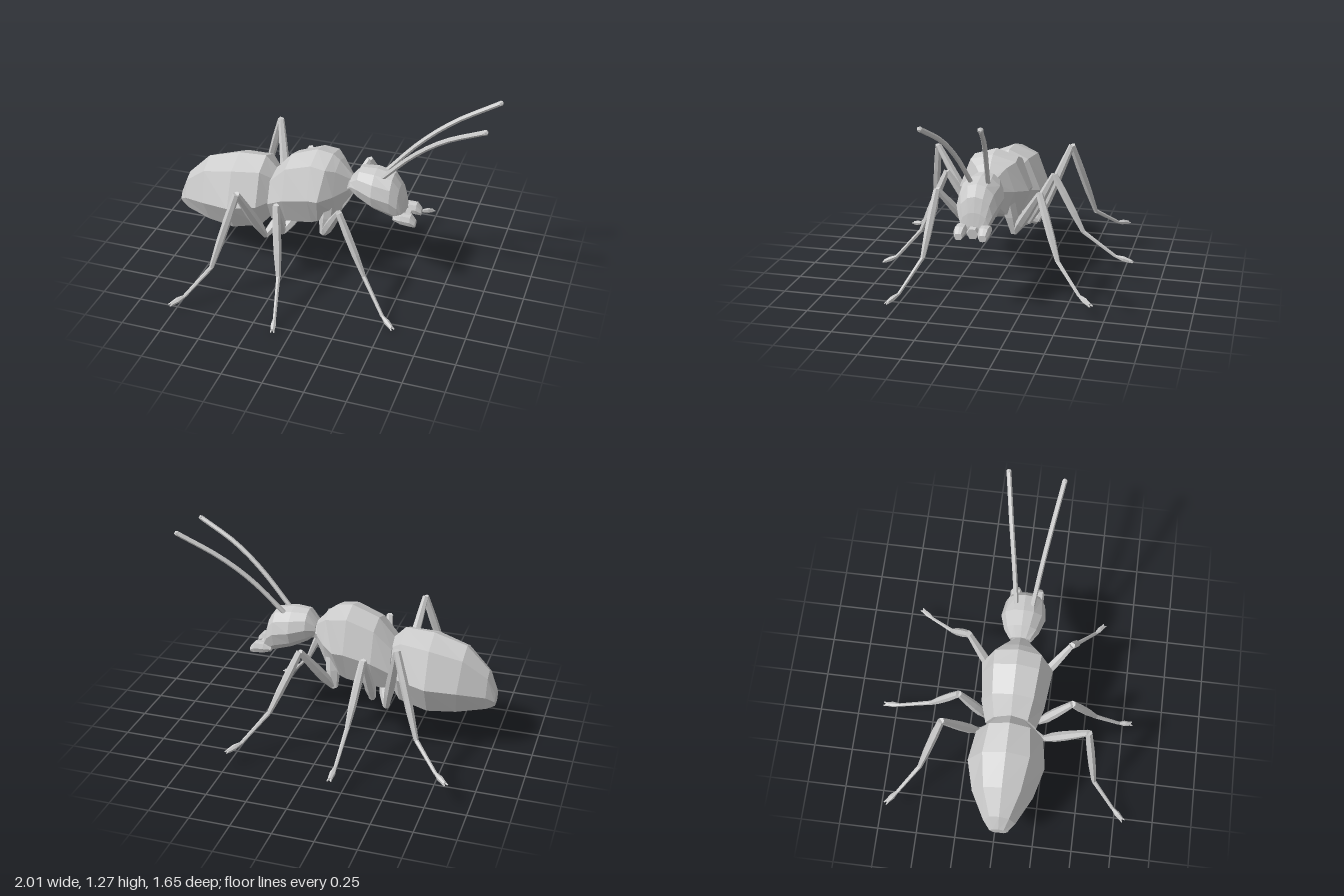
import * as THREE from 'three';

const mat = new THREE.MeshStandardMaterial({ color: 0xcccccc, flatShading: true });
const ZC = 0.035; // the body's mid-plane
const V = (x, y, z) => new THREE.Vector3(x, y, z);

function mesh(geo, name) {
  const m = new THREE.Mesh(geo, mat);
  m.name = name;
  return m;
}

// Loft along x. Half section: [width fraction, height fraction] from top to bottom.
// Stations: [x, bottom, top, half width, lean of the top in x]
function loft(name, half, stations, zc = ZC) {
  const inner = half.slice(1, -1);
  const ring = [...half, ...inner.reverse().map(([w, h]) => [-w, h])];
  const n = ring.length, pos = [], idx = [];
  for (const [x, lo, hi, w, lean = 0] of stations)
    for (const [rw, rh] of ring) pos.push(x + lean * (rh - 0.5), lo + (hi - lo) * rh, zc + w * rw);
  for (let i = 0; i < stations.length - 1; i++)
    for (let j = 0; j < n; j++) {
      const a = i * n + j, b = i * n + (j + 1) % n;
      idx.push(a, b, b + n, a, b + n, a + n);
    }
  const last = (stations.length - 1) * n;
  for (let j = 1; j < n - 1; j++) idx.push(0, j + 1, j, last, last + j, last + j + 1);
  const g = new THREE.BufferGeometry();
  g.setAttribute('position', new THREE.Float32BufferAttribute(pos, 3));
  g.setIndex(idx);
  const flat = g.toNonIndexed();
  flat.computeVertexNormals();
  return mesh(flat, name);
}

// Closed faceted rod from a to b; radii are spread evenly along its length
function rod(name, a, b, radii, sides = 6) {
  const d = b.clone().sub(a), len = d.length();
  const pts = [new THREE.Vector2(0, 0)];
  radii.forEach((r, i) => pts.push(new THREE.Vector2(r, len * i / (radii.length - 1))));
  pts.push(new THREE.Vector2(0, len));
  const m = mesh(new THREE.LatheGeometry(pts, sides), name);
  m.position.copy(a);
  m.quaternion.setFromUnitVectors(V(0, 1, 0), d.normalize());
  return m;
}

// Leg through root, hip, knee, ankle and foot
function leg(name, root, hip, knee, ankle, foot, coxaR) {
  const g = new THREE.Group();
  g.name = name;
  const [r, h, k, a, f] = [root, hip, knee, ankle, foot].map(p => V(...p));
  const t = a.clone().lerp(f, 0.68);
  t.y = a.y + (f.y - a.y) * 0.85;
  g.add(rod('coxa', r, h, [coxaR, coxaR, coxaR * 0.6]));
  g.add(rod('femur', h, k, [0.018, 0.031, 0.031, 0.026, 0.02]));
  g.add(rod('tibia', k, a, [0.022, 0.026, 0.024, 0.015]));
  g.add(rod('tarsus', a, t, [0.014, 0.012, 0.011]));
  g.add(rod('toe', t, f, [0.009, 0.018, 0.013]));
  // forked claws
  const dir = f.clone().sub(t).normalize();
  const side = V(-dir.z, 0, dir.x).multiplyScalar(0.012);
  for (const s of [-1, 1]) {
    const p = f.clone().addScaledVector(side, s * 0.5).addScaledVector(dir, -0.01);
    g.add(rod('claw', p, p.clone().addScaledVector(dir, 0.025).addScaledVector(side, s * 0.5), [0.008, 0.004], 5));
  }
  return g;
}

export function createModel() {
  const model = new THREE.Group();
  model.name = 'ant';

  // Body
  model.add(loft('abdomen', [[0, 1], [0.6, 0.87], [1, 0.4], [0.62, 0], [0, 0]], [
    [-1.0, 0.31, 0.40, 0.055],
    [-0.95, 0.295, 0.53, 0.10],
    [-0.79, 0.275, 0.675, 0.19, -0.03],
    [-0.6, 0.27, 0.735, 0.24],
    [-0.42, 0.31, 0.745, 0.21],
    [-0.35, 0.38, 0.67, 0.13],
  ]));
  model.add(loft('thorax', [[0, 1], [0.65, 0.9], [1, 0.45], [0.62, 0], [0, 0]], [
    [-0.36, 0.355, 0.66, 0.16],
    [-0.25, 0.37, 0.785, 0.195],
    [-0.08, 0.40, 0.85, 0.215],
    [-0.01, 0.42, 0.835, 0.222, 0.06],
    [0.065, 0.47, 0.80, 0.15],
    [0.145, 0.58, 0.71, 0.05],
  ]));
  model.add(rod('neck', V(0.08, 0.64, ZC), V(0.22, 0.655, ZC), [0.08, 0.06, 0.07], 8));
  model.add(loft('head', [[0, 1], [0.45, 0.95], [0.82, 0.78], [1, 0.5], [0.8, 0.2], [0.45, 0.04], [0, 0]], [
    [0.145, 0.62, 0.71, 0.07],
    [0.2, 0.575, 0.78, 0.11],
    [0.3, 0.525, 0.785, 0.14],
    [0.41, 0.485, 0.765, 0.125],
    [0.455, 0.47, 0.70, 0.105],
    [0.48, 0.465, 0.61, 0.085],
    [0.492, 0.475, 0.53, 0.06],
  ]));

  // Jaws and feelers
  const antennaEnds = { 1: V(0.975, 1.235, 0.2), '-1': V(0.99, 1.255, -0.14) };
  for (const s of [-1, 1]) {
    model.add(loft('mandible', [[0, 1], [0.7, 0.95], [1, 0.5], [0.7, 0.05], [0, 0]], [
      [0.43, 0.49, 0.52, 0.025],
      [0.48, 0.475, 0.54, 0.036],
      [0.54, 0.47, 0.54, 0.036],
      [0.57, 0.465, 0.505, 0.024],
    ], ZC + s * 0.073));
    const end = antennaEnds[s];
    const z = f => ZC + s * 0.05 + (end.z - ZC - s * 0.05) * f;
    const path = new THREE.CatmullRomCurve3([
      V(0.34, 0.745, z(0)), V(0.54, 0.96, z(0.31)), V(0.73, 1.11, z(0.62)), end]);
    model.add(mesh(new THREE.TubeGeometry(path, 10, 0.015, 6), 'antenna'));
    const tip = mesh(new THREE.IcosahedronGeometry(0.018, 0), 'antennaTip');
    tip.position.copy(end);
    model.add(tip);
  }
  model.add(rod('mouth', V(0.46, 0.495, ZC), V(0.52, 0.49, ZC), [0.045, 0.035], 6));

  // Legs, each in its own pose: name, root, hip, knee, ankle, foot, coxa radius
  const legs = [
    ['rightFrontLeg', [0.02, 0.56, 0.13], [0, 0.33, 0.16], [0.16, 0.63, 0.355], [0.335, 0.24, 0.4], [0.56, 0.02, 0.56], 0.045],
    ['rightMiddleLeg', [-0.2, 0.39, 0.08], [-0.26, 0.31, 0.2], [-0.22, 0.63, 0.4], [-0.155, 0.235, 0.56], [-0.107, 0.015, 0.8], 0.035],
    ['rightHindLeg', [-0.3, 0.36, 0.07], [-0.36, 0.29, 0.24], [-0.425, 0.74, 0.515], [-0.58, 0.23, 0.59], [-0.765, 0.055, 0.8], 0.035],
    ['leftFrontLeg', [0.02, 0.56, -0.06], [0, 0.33, -0.1], [0.155, 0.645, -0.29], [0.305, 0.28, -0.435], [0.495, 0.1, -0.665], 0.045],
    ['leftMiddleLeg', [-0.2, 0.39, -0.01], [-0.26, 0.31, -0.13], [-0.245, 0.65, -0.3], [-0.21, 0.295, -0.5], [-0.2, 0.125, -0.81], 0.035],
    ['leftHindLeg', [-0.3, 0.36, 0], [-0.36, 0.29, -0.17], [-0.47, 0.785, -0.37], [-0.635, 0.295, -0.51], [-0.855, 0.155, -0.7], 0.035],
  ];
  for (const l of legs) model.add(leg(...l));
  return model;
}
